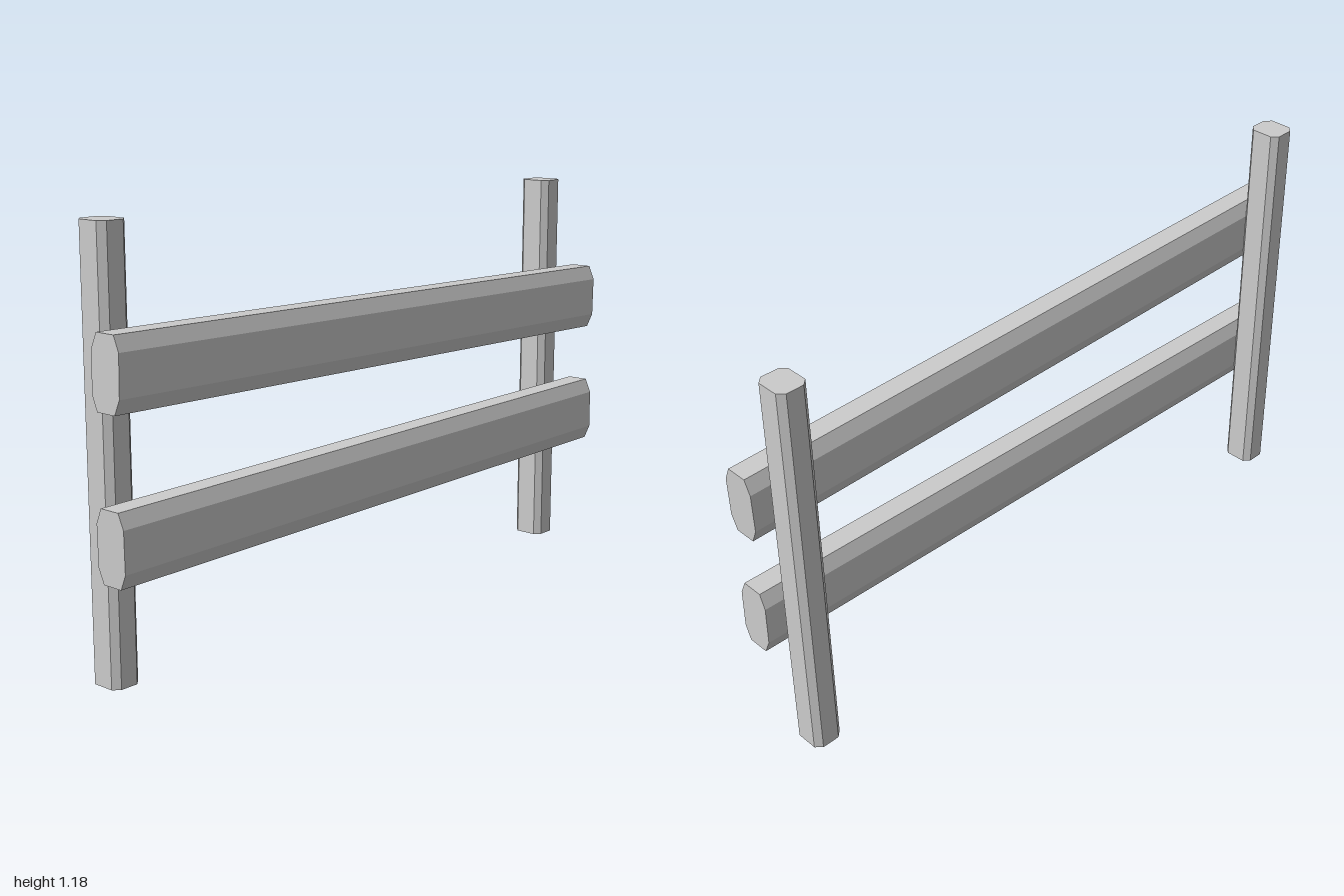
import * as THREE from 'three';

const material = new THREE.MeshStandardMaterial({ color: 0xcccccc, flatShading: true });

// Beam along z, centred, with a w x h section whose corners are cut by cx and cy
function chamferedBeam(w, h, cx, cy, length) {
  const x = w / 2, y = h / 2;
  const section = new THREE.Shape([
    [x, -y + cy], [x, y - cy], [x - cx, y], [-x + cx, y],
    [-x, y - cy], [-x, -y + cy], [-x + cx, -y], [x - cx, -y],
  ].map(([a, b]) => new THREE.Vector2(a, b)));
  return new THREE.ExtrudeGeometry(section, { depth: length, bevelEnabled: false })
    .translate(0, 0, -length / 2);
}

export function createModel() {
  const fence = new THREE.Group();
  fence.name = 'fence';

  // Upright posts behind the rails, slightly different in height
  for (const [name, x, height] of [['rightPost', -0.91, 1.183], ['leftPost', 0.905, 1.163]]) {
    const geometry = chamferedBeam(0.088, 0.098, 0.018, 0.017, height).rotateX(-Math.PI / 2);
    const post = new THREE.Mesh(geometry, material);
    post.name = name;
    post.position.set(x, height / 2, -0.049);
    fence.add(post);
  }

  // Horizontal rails, each tilted a little
  for (const [name, y, tilt] of [['upperRail', 0.808, -0.0195], ['lowerRail', 0.406, 0.0125]]) {
    const geometry = chamferedBeam(0.099, 0.195, 0.018, 0.041, 1.995).rotateY(Math.PI / 2);
    const rail = new THREE.Mesh(geometry, material);
    rail.name = name;
    rail.position.set(0, y, 0.05);
    rail.rotation.z = tilt;
    fence.add(rail);
  }

  return fence;
}
